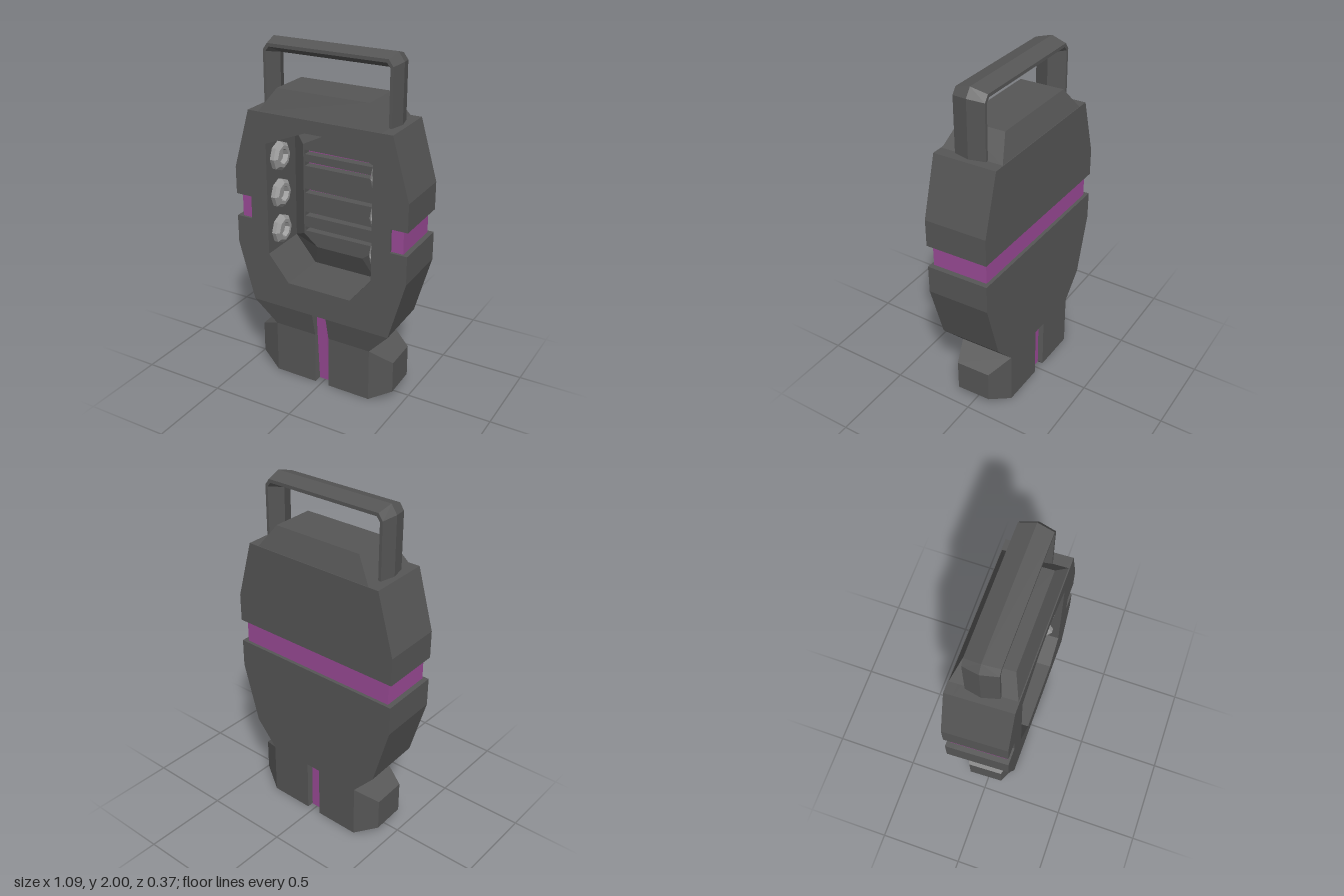
import * as THREE from 'three';
import { ConvexGeometry } from 'three/addons/geometries/ConvexGeometry.js';

const material = (color) => new THREE.MeshStandardMaterial({ color, flatShading: true });

// close a half outline by mirroring it across x = 0
const mirrored = (half) => [...half, ...half.map(([x, y]) => [-x, y]).reverse()];
const toVectors = (pts) => pts.map(([x, y]) => new THREE.Vector2(x, y));

function slab(half, z0, z1) {
  const shape = new THREE.Shape(toVectors(mirrored(half)));
  return new THREE.ExtrudeGeometry(shape, { depth: z1 - z0, bevelEnabled: false }).translate(0, 0, z0);
}

function box(x0, x1, y0, y1, z0, z1) {
  return new THREE.BoxGeometry(x1 - x0, y1 - y0, z1 - z0)
    .translate((x0 + x1) / 2, (y0 + y1) / 2, (z0 + z1) / 2);
}

function hull(points, side = 1) {
  return new ConvexGeometry(points.map(([x, y, z]) => new THREE.Vector3(x * side, y, z)));
}

// corners of a rectangle lying at height y
const rect = (x0, x1, y, z0, z1) => [[x0, y, z0], [x1, y, z0], [x1, y, z1], [x0, y, z1]];

export function createModel() {
  const group = new THREE.Group();
  const dark = material(0x565656);
  const purple = material(0x9a4a96);
  const steel = material(0x999999);

  // the whole casing is very slightly skewed
  const skew = new THREE.Matrix4().set(1, 0, 0.035, 0, 0, 1, 0, 0, 0.012, 0, 1, 0, 0, 0, 0, 1);
  const add = (name, geometry, mat = dark) => {
    const mesh = new THREE.Mesh(geometry.applyMatrix4(skew), mat);
    mesh.name = name;
    group.add(mesh);
  };

  const back = -0.18, front = 0.182, floor = -0.13;
  const bandLow = 0.985, bandHigh = 1.12;

  // upper and lower casing: pierced front part plus solid back plate
  const upperOuter = [[0.54, bandHigh], [0.54, 1.28], [0.44, 1.625]];
  const lowerOuter = [[0.54, bandLow], [0.54, 0.82], [0.44, 0.47]];
  add('upperCasing', slab([[0.08, 1.55], [0.33, 1.45], [0.33, bandHigh], ...upperOuter], floor, front));
  add('lowerCasing', slab([[0.2, 0.635], [0.33, 0.79], [0.33, bandLow], ...lowerOuter], floor, front));
  add('upperBackPlate', slab(upperOuter, back, floor));
  add('lowerBackPlate', slab(lowerOuter, back, floor));

  // recessed band around the sides and back
  add('middleBackPlate', box(-0.44, 0.44, bandLow, bandHigh, -0.145, floor));
  add('backBand', box(-0.51, 0.51, bandLow, bandHigh, -0.16, -0.145), purple);
  for (const s of [1, -1]) {
    const span = (a, b) => (s > 0 ? [a, b] : [-b, -a]);
    add('middleJamb', box(...span(0.33, 0.44), bandLow, bandHigh, -0.14, front));
    add('sideBand', box(...span(0.42, 0.51), bandLow, bandHigh, -0.15, 0.165), purple);
  }

  // tapered top cap
  add('topCap', hull([
    ...rect(-0.38, 0.38, 1.62, -0.178, 0.178),
    ...rect(-0.28, 0.28, 1.755, -0.13, 0.13),
  ]));

  // handle: six-sided section carried round a chamfered frame
  const halfFrame = [
    { outer: [0.41, 1.6], inner: [0.335, 1.6] },
    { outer: [0.41, 1.95], inner: [0.335, 1.915] },
    { outer: [0.375, 2.0], inner: [0.33, 1.915] },
  ];
  const flip = ({ outer, inner }) => ({ outer: [-outer[0], outer[1]], inner: [-inner[0], inner[1]] });
  const frame = [...halfFrame, ...halfFrame.map(flip).reverse()];
  const section = [[0, 0], [0.28, 0.09], [0.5, 0.09], [1, 0], [0.5, -0.09], [0.28, -0.09]];
  const ring = ({ outer, inner }) => section.map(([t, z]) => [
    outer[0] + (inner[0] - outer[0]) * t, outer[1] + (inner[1] - outer[1]) * t, z,
  ]);
  for (let i = 0; i < frame.length - 1; i++) {
    add('handle', hull([...ring(frame[i]), ...ring(frame[i + 1])]));
  }

  // waist and feet, one of each per side of the centre slot
  for (const s of [1, -1]) {
    add('waist', hull([
      [0.045, 0.47, front], [0.03, 0.47, front - 0.03], [0.03, 0.47, back],
      [0.44, 0.47, back], [0.44, 0.47, front],
      [0.045, 0.325, 0.147], [0.03, 0.325, 0.117], [0.03, 0.325, back],
      [0.31, 0.325, back], [0.31, 0.325, 0.147],
    ], s));
    add('foot', hull([
      ...rect(0.045, 0.31, 0.005, back, 0.147),
      ...rect(0.045, 0.31, 0.325, back, 0.147),
      ...rect(0.03, 0.03, 0.025, -0.155, 0.117),
      ...rect(0.03, 0.03, 0.325, -0.155, 0.117),
      ...rect(0.44, 0.44, 0.07, -0.11, 0.095),
      ...rect(0.44, 0.44, 0.26, -0.11, 0.095),
    ], s));
  }
  add('waistBackFill', box(-0.035, 0.035, 0.325, 0.47, back, -0.1));
  add('centreStrip', hull([
    ...rect(-0.031, 0.031, 0.02, -0.155, 0.117),
    ...rect(-0.031, 0.031, 0.325, -0.155, 0.117),
    ...rect(-0.031, 0.031, 0.46, -0.155, 0.152),
  ]), purple);

  // raised grille in the recess: sloping rim
  const low = mirrored([[0.2, 0.635], [0.33, 0.79], [0.33, 1.45], [0.08, 1.55]]);
  const high = mirrored([[0.15, 0.77], [0.24, 0.84], [0.24, 1.39], [0.08, 1.47]]);
  const grilleZ = -0.07;
  const rim = [];
  low.forEach((p, i) => {
    const j = (i + 1) % low.length;
    const a = [...p, floor], b = [...low[j], floor];
    const c = [...high[j], grilleZ], d = [...high[i], grilleZ];
    rim.push(...a, ...b, ...c, ...a, ...c, ...d);
  });
  const rimGeometry = new THREE.BufferGeometry();
  rimGeometry.setAttribute('position', new THREE.Float32BufferAttribute(rim, 3));
  rimGeometry.computeVertexNormals();
  add('grilleRim', rimGeometry);

  // grille face with slots and the glowing panel behind it
  const face = new THREE.Shape(toVectors(high));
  for (const y of [1.345, 1.275, 1.11, 0.967, 0.872]) {
    face.holes.push(new THREE.Path(toVectors([
      [-0.23, y - 0.013], [-0.23, y + 0.013], [0.23, y + 0.011], [0.23, y - 0.011],
    ])));
  }
  add('grilleFace', new THREE.ExtrudeGeometry(face, { depth: 0.05, bevelEnabled: false })
    .translate(0, 0, grilleZ - 0.05));
  add('grillePanel', box(-0.235, 0.235, 0.85, 1.37, -0.128, grilleZ - 0.05), purple);

  // three hollow bolts on each side wall of the recess
  const boltProfile = toVectors([
    [0.085, 0], [0.085, 0.025], [0.065, 0.042], [0.045, 0.042], [0.035, 0.015], [0, 0.015],
  ]);
  for (const s of [1, -1]) {
    for (const y of [1.347, 1.125, 0.905]) {
      add('bolt', new THREE.LatheGeometry(boltProfile, 8)
        .rotateZ(s * Math.PI / 2).translate(s * 0.33, y, 0.06), steel);
    }
  }
  return group;
}
